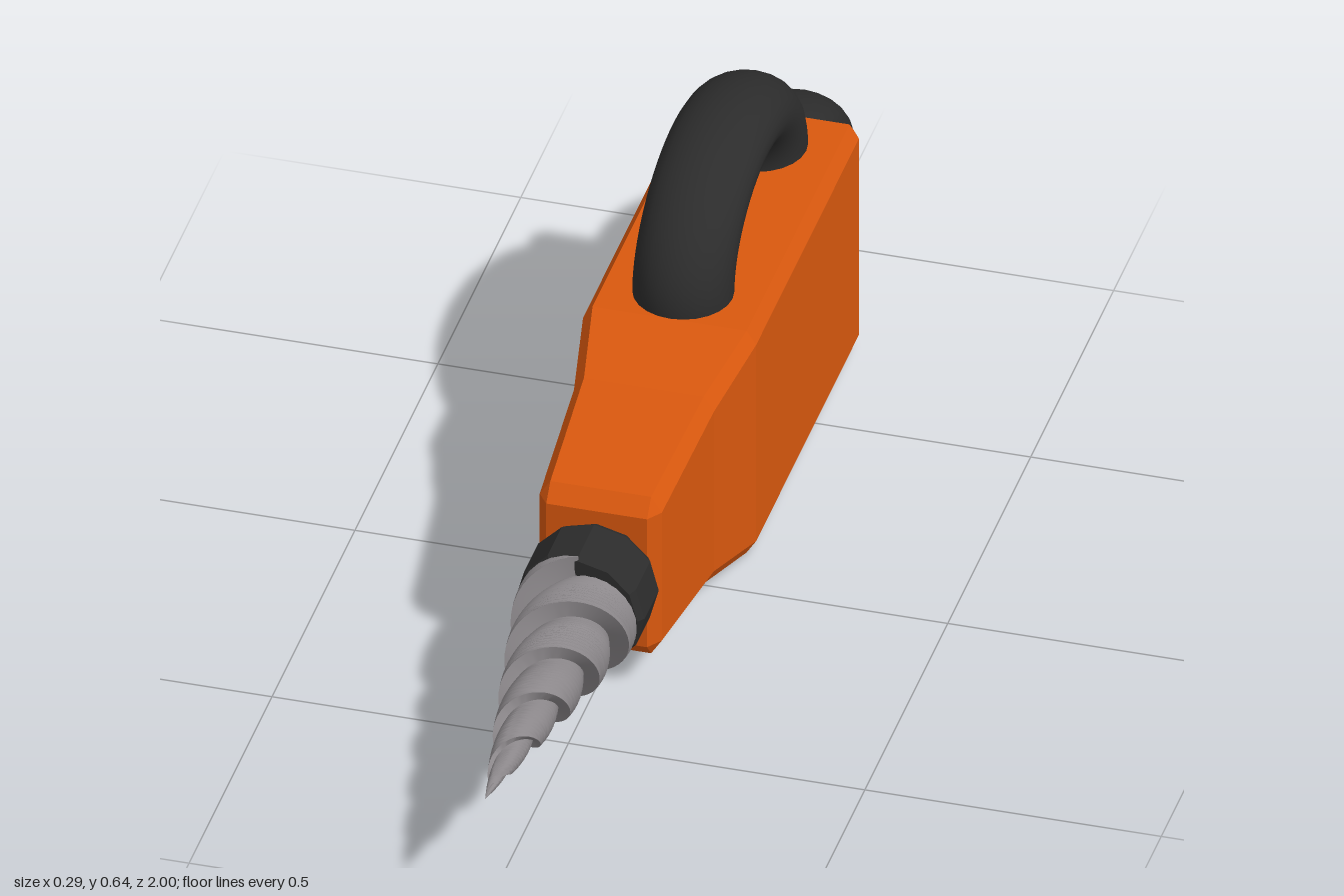
import * as THREE from 'three';
import { toCreasedNormals } from 'three/addons/utils/BufferGeometryUtils.js';

const AXIS_Y = 0.219;

// Skin a list of counter-clockwise rings ordered from back to front, and close both ends.
function loft(rings) {
  const n = rings[0].length, index = [], points = rings.flat();
  for (let i = 0; i < rings.length - 1; i++) {
    for (let j = 0; j < n; j++) {
      const a = i * n + j, b = i * n + (j + 1) % n;
      index.push(a, b, b + n, a, b + n, a + n);
    }
  }
  const last = (rings.length - 1) * n;
  const back = points.length, front = back + 1;
  for (const ring of [rings[0], rings[rings.length - 1]]) {
    points.push(ring.reduce((s, p) => s.add(p), new THREE.Vector3()).divideScalar(n));
  }
  for (let j = 0; j < n; j++) {
    const k = (j + 1) % n;
    index.push(back, k, j, front, last + j, last + k);
  }
  const geometry = new THREE.BufferGeometry().setFromPoints(points);
  geometry.setIndex(index);
  return geometry.toNonIndexed();
}

// Rectangle with cut corners, counter-clockwise seen from the front.
function bodyRing([z, w, y0, y1, cx, cy]) {
  return [
    [w, y0 + cy], [w, y1 - cy], [w - cx, y1], [cx - w, y1],
    [-w, y1 - cy], [-w, y0 + cy], [cx - w, y0], [w - cx, y0],
  ].map(([x, y]) => new THREE.Vector3(x, y, z));
}

// Two-lobed drill section with a sharp step at the start of each lobe.
function drillRing(s) {
  const ring = [], steps = 14;
  const radius = Math.max(0.109 * Math.pow(1 - s, 0.92), 0.0008);
  for (let lobe = 0; lobe < 2; lobe++) {
    for (let k = 0; k <= steps; k++) {
      const u = k / steps;
      const angle = Math.PI * (0.5 + lobe + u) + s * 2.6 * Math.PI * 2;
      const r = radius * (0.66 + 0.34 * Math.cos(u * Math.PI / 2));
      ring.push(new THREE.Vector3(r * Math.cos(angle), AXIS_Y + r * Math.sin(angle), 0.44 + 0.56 * s));
    }
  }
  return ring;
}

export function createModel() {
  const model = new THREE.Group();
  const orange = new THREE.MeshStandardMaterial({ color: 0xd9580e });
  orange.name = 'orange casing';
  const black = new THREE.MeshStandardMaterial({ color: 0x2c2c2c });
  black.name = 'black rubber';
  const steel = new THREE.MeshStandardMaterial({ color: 0x8b878a });
  steel.name = 'grey steel';

  const add = (name, geometry, material) => {
    const mesh = new THREE.Mesh(geometry, material);
    mesh.name = name;
    model.add(mesh);
    return mesh;
  };

  // Casing: bevelled box narrowing toward the front; the ends collapse to plain rectangles
  const body = loft([
    [-0.753, 0.13, 0.025, 0.41, 0, 0],
    [-0.73, 0.146, 0, 0.435, 0.016, 0.025],
    [-0.11, 0.146, 0, 0.435, 0.016, 0.025],
    [0.045, 0.118, 0.035, 0.402, 0.017, 0.027],
    [0.305, 0.103, 0.065, 0.372, 0.018, 0.028],
    [0.33, 0.085, 0.093, 0.344, 0, 0],
  ].map(bodyRing));
  body.computeVertexNormals();
  add('body', body, orange);

  // Chuck: faceted collar with bevelled rims
  const profile = [[0, 0.325], [0.098, 0.325], [0.109, 0.345], [0.109, 0.43], [0.1, 0.442], [0, 0.442]]
    .map(([r, y]) => new THREE.Vector2(r, y));
  const chuck = new THREE.LatheGeometry(profile, 12).toNonIndexed();
  chuck.computeVertexNormals();
  chuck.rotateX(Math.PI / 2).translate(0, AXIS_Y, 0);
  add('chuck', chuck, black);

  // Drill bit: twisted cone
  const rings = Array.from({ length: 121 }, (_, i) => drillRing(i / 120));
  add('drillBit', toCreasedNormals(loft(rings), 0.7), steel);

  // Handles: squashed half rings on the top and the back
  const halfRing = (turn) => new THREE.TorusGeometry(0.222, 0.083, 24, 40, Math.PI)
    .rotateZ(turn).rotateY(Math.PI / 2);
  add('topHandle', halfRing(0).scale(1, 0.69, 1).translate(0, 0.434, -0.415), black);
  add('rearHandle', halfRing(-Math.PI / 2).scale(1, 0.607, 0.807).translate(0, AXIS_Y, -0.754), black);

  return model;
}
